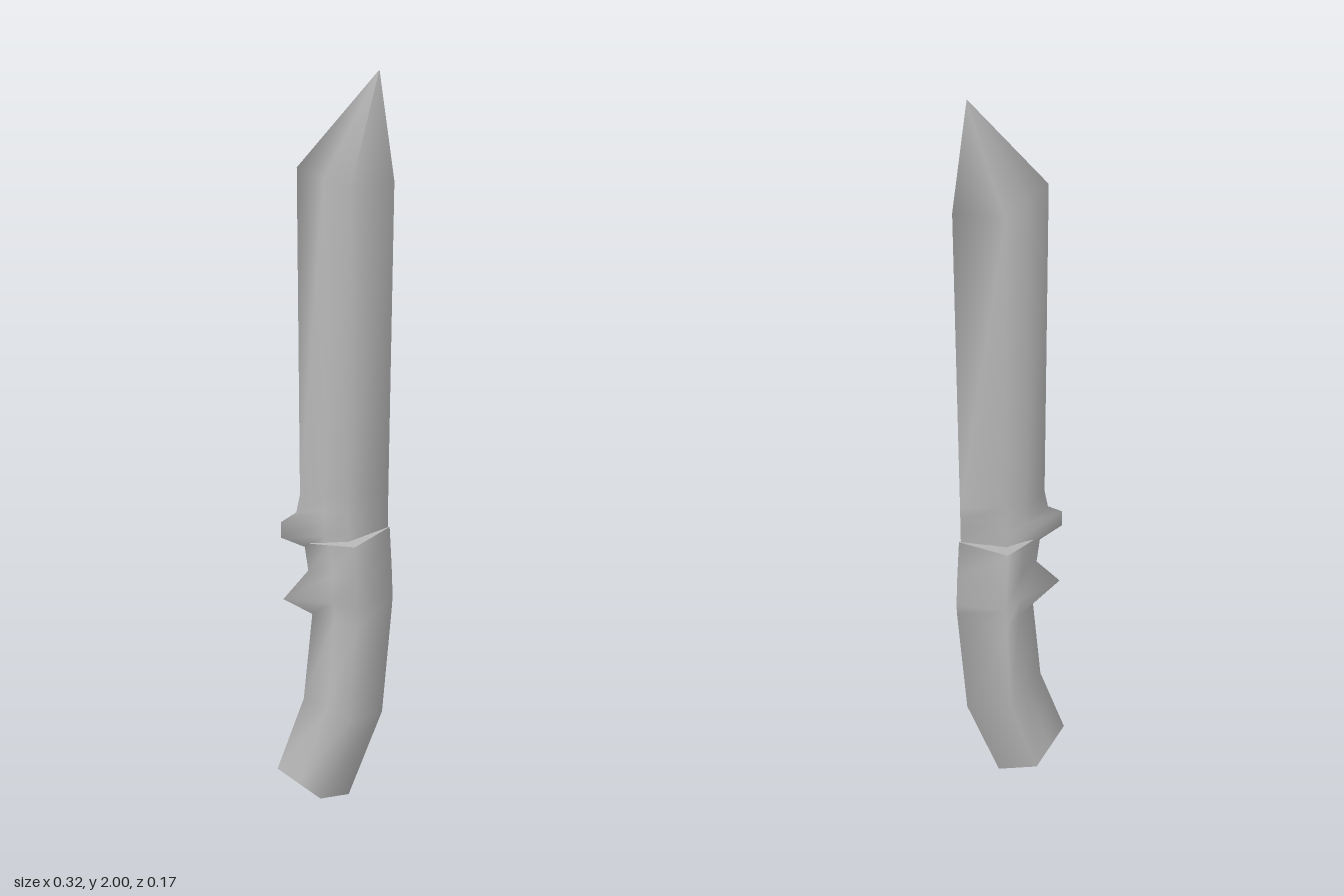
import * as THREE from 'three';

// Each section: [edge x, y], [ridge x, y, z], [spine x, y], optional edge x without the spur.
// The shoulder points lie on the flat between edge and ridge so spurs stay local.
function ring([edge, ridge, spine, baseX = edge[0]]) {
  const t = 0.5;
  const sx = baseX + (ridge[0] - baseX) * t;
  const sy = edge[1] + (ridge[1] - edge[1]) * t;
  const sz = ridge[2] * t;
  return [
    [spine[0], spine[1], 0],
    [ridge[0], ridge[1], -ridge[2]],
    [sx, sy, -sz],
    [edge[0], edge[1], 0],
    [sx, sy, sz],
    [ridge[0], ridge[1], ridge[2]],
  ];
}

function makeGeometry(points, index) {
  const geometry = new THREE.BufferGeometry();
  geometry.setAttribute('position', new THREE.Float32BufferAttribute(points.flat(), 3));
  geometry.setIndex(index);
  geometry.computeVertexNormals();
  return geometry;
}

// Smooth skin through sections ordered from bottom to top
function loft(sections) {
  const rings = sections.map(ring);
  const n = rings[0].length;
  const index = [];
  for (let r = 0; r < rings.length - 1; r++) {
    for (let i = 0; i < n; i++) {
      const a = r * n + i, b = r * n + (i + 1) % n;
      index.push(a, b, b + n, a, b + n, a + n);
    }
  }
  return makeGeometry(rings.flat(), index);
}

// Flat end closing one section
function cap(section, up) {
  const points = ring(section);
  const index = [];
  for (let i = 1; i < points.length - 1; i++) {
    index.push(...(up ? [0, i, i + 1] : [0, i + 1, i]));
  }
  return makeGeometry(points, index);
}

export function createModel() {
  const model = new THREE.Group();
  model.name = 'knife';
  const steel = new THREE.MeshStandardMaterial({ color: 0xb8b8b8 });
  steel.name = 'grey steel';
  const add = (name, geometry) => {
    const mesh = new THREE.Mesh(geometry, steel);
    mesh.name = name;
    model.add(mesh);
  };

  // Blade with a small guard nub low on its edge and a slanted point
  const blade = [
    [[-0.08, 0.79], [0.03, 0.80, 0.042], [0.14, 0.81], -0.09],
    [[-0.14, 0.82], [0.03, 0.83, 0.042], [0.14, 0.83], -0.09],
    [[-0.14, 0.865], [0.03, 0.865, 0.042], [0.14, 0.865], -0.09],
    [[-0.10, 0.89], [0.03, 0.90, 0.042], [0.14, 0.90], -0.09],
    [[-0.09, 0.94], [0.03, 0.94, 0.042], [0.14, 0.94]],
    [[-0.09, 1.78], [0.03, 1.73, 0.042], [0.143, 1.74]],
    [[0.104, 2], [0.104, 2, 0], [0.104, 2]],
  ];
  add('blade', loft(blade));
  add('bladeBase', cap(blade[0], false));

  // Curved grip with a finger spur
  const grip = [
    [[-0.16, 0.11], [-0.05, 0.05, 0.072], [0.04, 0.005]],
    [[-0.085, 0.33], [0.03, 0.30, 0.083], [0.132, 0.27]],
    [[-0.06, 0.59], [0.045, 0.58, 0.083], [0.155, 0.60]],
    [[-0.137, 0.64], [0.045, 0.64, 0.083], [0.156, 0.63], -0.065],
    [[-0.07, 0.72], [0.045, 0.72, 0.083], [0.152, 0.72]],
    [[-0.08, 0.80], [0.04, 0.82, 0.083], [0.145, 0.832]],
  ];
  add('grip', loft(grip));
  add('gripTop', cap(grip[grip.length - 1], true));
  add('pommel', cap(grip[0], false));

  return model;
}
